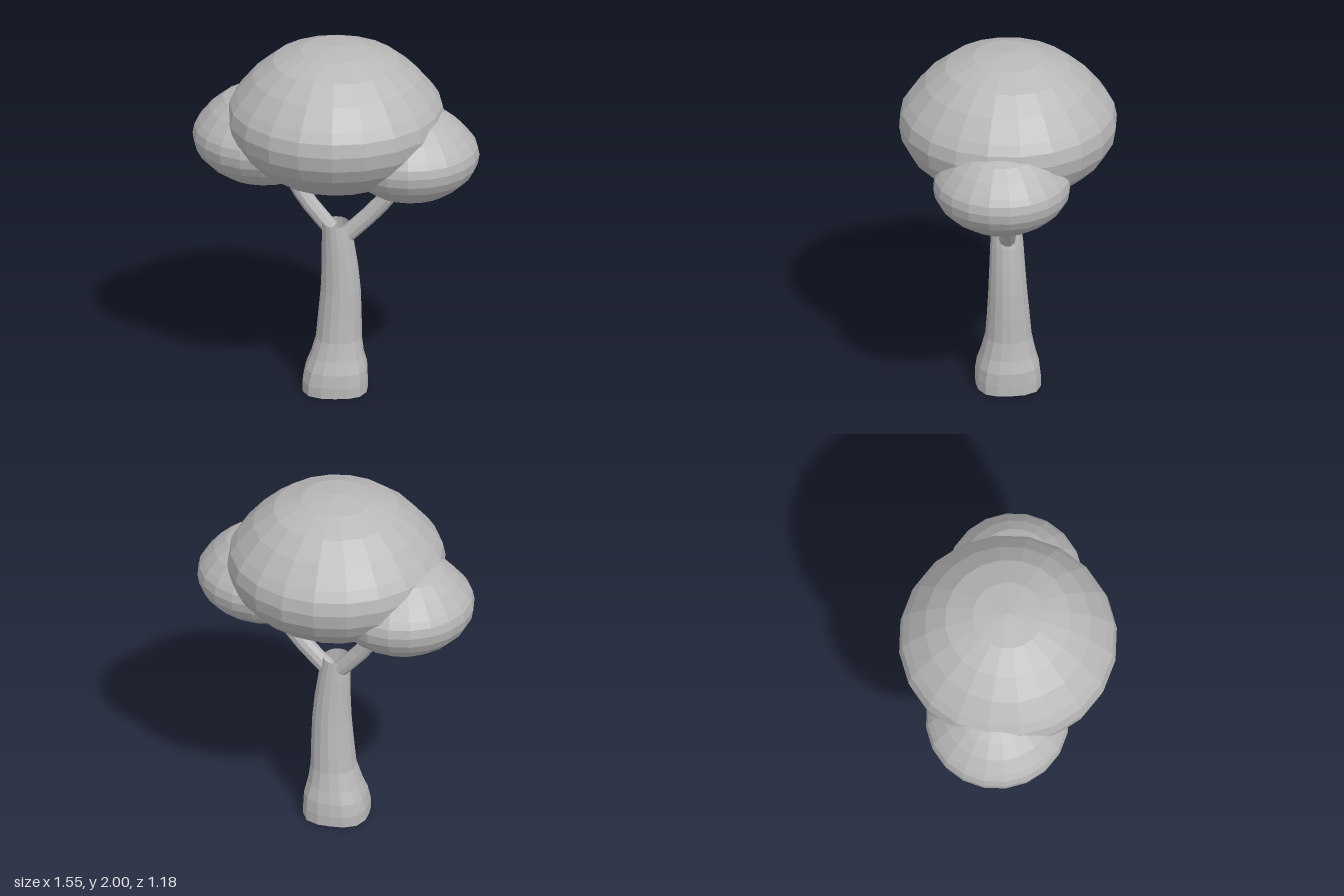
import * as THREE from 'three';

const grey = new THREE.MeshStandardMaterial({ color: 0xb8b8b8, flatShading: true, side: THREE.DoubleSide });
grey.name = 'grey';

// Domed profile shared by all foliage clumps: [radius, height above the clump's underside]
const CLUMP = [
  [0, 0], [0.19, 0.015], [0.34, 0.065], [0.45, 0.14], [0.53, 0.22], [0.575, 0.3],
  [0.59, 0.385], [0.575, 0.46], [0.54, 0.515], [0.45, 0.625], [0.34, 0.715], [0.19, 0.775], [0, 0.8],
];

function clump(name, scale, x, y, z) {
  const points = CLUMP.map(([r, h]) => new THREE.Vector2(r, h));
  const mesh = new THREE.Mesh(new THREE.LatheGeometry(points, 20), grey);
  mesh.name = name;
  mesh.scale.setScalar(scale);
  mesh.position.set(x, y, z);
  return mesh;
}

// Trunk rings from top to foot: [y, centre x, centre z, radius x, radius z, squareness]
const RINGS = [
  [0.968, 0, 0.01, 0.073, 0.08, 2],
  [0.85, 0.012, 0.008, 0.088, 0.09, 2],
  [0.72, 0.022, 0.007, 0.098, 0.097, 2],
  [0.58, 0.026, 0.005, 0.108, 0.105, 2],
  [0.44, 0.022, 0.002, 0.117, 0.115, 2],
  [0.3, 0.016, 0, 0.124, 0.126, 2.1],
  [0.2, 0.008, 0, 0.145, 0.147, 2.4],
  [0.13, 0.003, 0, 0.167, 0.167, 2.7],
  [0.06, -0.003, 0, 0.175, 0.175, 2.9],
  [0, -0.004, 0, 0.176, 0.175, 2.9],
];

function trunk() {
  const sides = 16;
  const geometry = new THREE.CylinderGeometry(1, 1, 1, sides, RINGS.length - 1, true);
  const pos = geometry.attributes.position;
  for (let i = 0; i < pos.count; i++) {
    const [y, cx, cz, rx, rz, n] = RINGS[Math.floor(i / (sides + 1))];
    const px = pos.getX(i), pz = pos.getZ(i);
    const k = (Math.abs(px) ** n + Math.abs(pz) ** n) ** (-1 / n);
    pos.setXYZ(i, cx + px * k * rx, y, cz + pz * k * rz);
  }
  geometry.computeVertexNormals();
  const mesh = new THREE.Mesh(geometry, grey);
  mesh.name = 'trunk';
  return mesh;
}

// Gently bent limb running from inside the trunk into a clump
function branch(name, radius, ...points) {
  const curve = new THREE.CatmullRomCurve3(points.map(p => new THREE.Vector3(...p)));
  const mesh = new THREE.Mesh(new THREE.TubeGeometry(curve, 5, radius, 10, false), grey);
  mesh.name = name;
  return mesh;
}

export function createModel() {
  const tree = new THREE.Group();
  tree.name = 'tree';
  tree.add(
    trunk(),
    branch('leftBranch', 0.047, [0.05, 0.89, 0.01], [0.2, 1.04, 0.025], [0.31, 1.18, 0.045], [0.34, 1.25, 0.05]),
    branch('rightBranch', 0.045, [-0.03, 0.92, -0.03], [-0.15, 1.06, -0.055], [-0.235, 1.195, -0.078], [-0.26, 1.27, -0.085]),
    clump('crown', 1, 0, 1.2, 0),
    clump('leftFoliage', 0.63, 0.405, 1.167, 0.083),
    clump('rightFoliage', 0.655, -0.39, 1.18, -0.105),
  );
  return tree;
}
